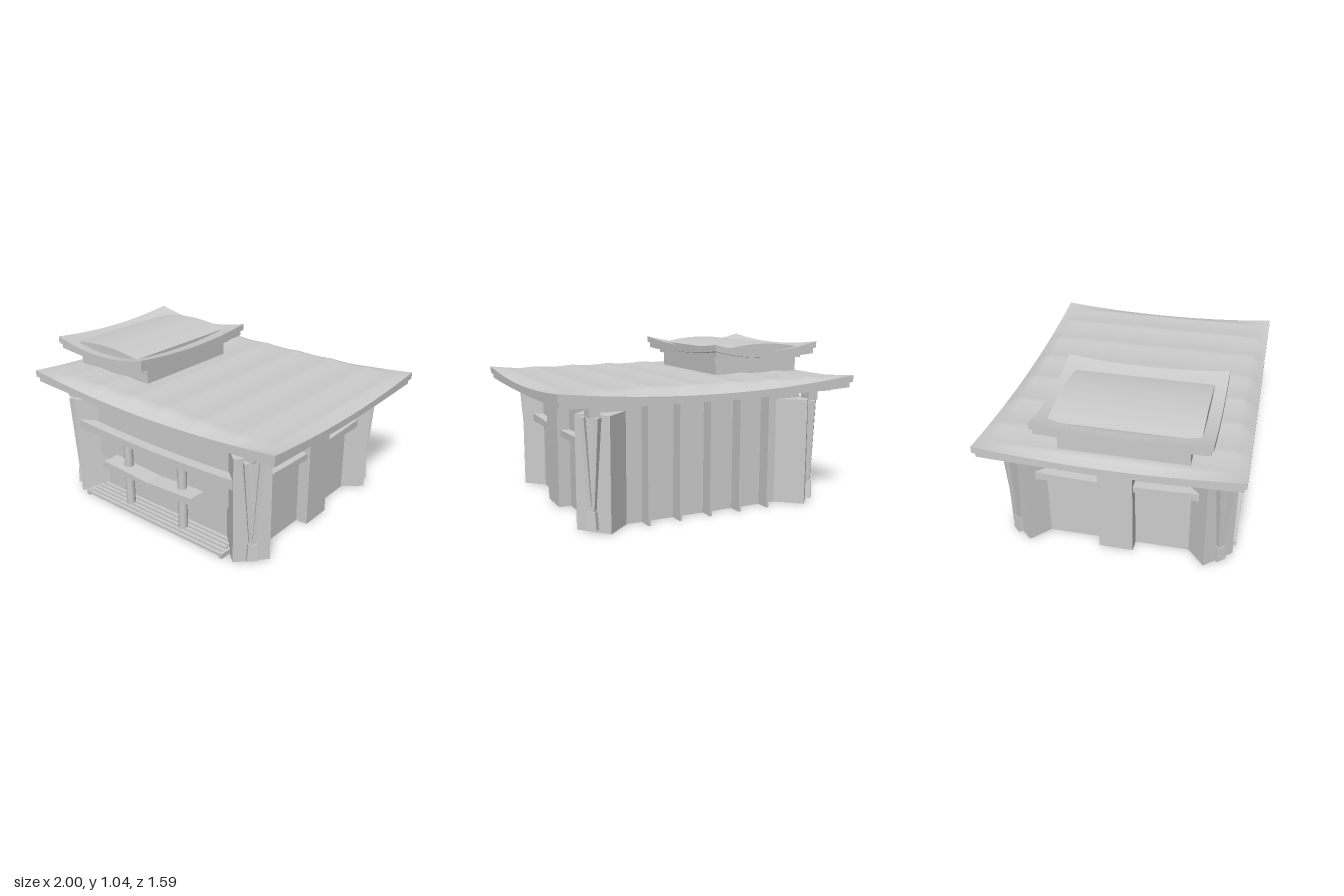
import * as THREE from 'three';

const mat = new THREE.MeshStandardMaterial({ color: 0xcccccc, side: THREE.DoubleSide });

function add(parent, name, geo, x = 0, y = 0, z = 0) {
  const m = new THREE.Mesh(geo, mat);
  m.name = name;
  m.position.set(x, y, z);
  parent.add(m);
  return m;
}

// Box given by its limits
function block(parent, name, x0, x1, y0, y1, z0, z1) {
  return add(parent, name, new THREE.BoxGeometry(x1 - x0, y1 - y0, z1 - z0),
    (x0 + x1) / 2, (y0 + y1) / 2, (z0 + z1) / 2);
}

// Slab whose top and bottom heights follow functions of (u, v) in -1..1
function slab(hx, hz, top, bottom, nx = 24, nz = 24) {
  const g = new THREE.BoxGeometry(2, 1, 2, nx, 1, nz);
  const p = g.attributes.position;
  for (let i = 0; i < p.count; i++) {
    const u = p.getX(i), v = p.getZ(i);
    p.setXYZ(i, u * hx, p.getY(i) > 0 ? top(u, v) : bottom(u, v), v * hz);
  }
  g.computeVertexNormals();
  return g;
}

// Thin upright wall along a plan path of [x, z] points
function wall(parent, name, path, y0, y1) {
  const pos = [];
  for (let i = 0; i + 1 < path.length; i++) {
    const [ax, az] = path[i], [bx, bz] = path[i + 1];
    pos.push(ax, y0, az, bx, y0, bz, bx, y1, bz, ax, y0, az, bx, y1, bz, ax, y1, az);
  }
  const g = new THREE.BufferGeometry();
  g.setAttribute('position', new THREE.Float32BufferAttribute(pos, 3));
  g.computeVertexNormals();
  return add(parent, name, g);
}

// Box tapered towards its lower end
function taper(wTop, wBottom, h, dTop, dBottom) {
  const g = new THREE.BoxGeometry(1, h, 1);
  const p = g.attributes.position;
  for (let i = 0; i < p.count; i++) {
    const up = p.getY(i) > 0;
    p.setX(i, p.getX(i) * (up ? wTop : wBottom));
    p.setZ(i, (p.getZ(i) + 0.5) * (up ? dTop : dBottom));
  }
  g.computeVertexNormals();
  return g;
}

// Slightly sagging beam with its length along x
function sagBeam(len, h, d, sag) {
  return slab(len / 2, d / 2, (u) => h / 2 - sag * (1 - u * u), () => -h / 2, 12, 1);
}

function addRoofs(root) {
  // Main roof: upswept corners, sagging edges, ribbed crown
  const roof = new THREE.Group();
  roof.name = 'mainRoof';
  root.add(roof);
  const bowl = (u, v) => 0.74 + 0.06 * u * u + 0.04 * v * v;
  const crown = (u, v) => {
    const inset = Math.min(1 - Math.abs(u), (1 - Math.abs(v)) * 0.8);
    const t = Math.min(1, inset / 0.08);
    const rib = 0.836 - 0.008 * Math.abs(Math.sin((u - 0.13) * Math.PI / 0.285));
    return THREE.MathUtils.lerp(bowl(u, v), rib, t);
  };
  add(roof, 'roofSlab', slab(1, 0.795, crown, (u, v) => Math.max(bowl(u, v) - 0.043, 0.737), 100, 50));
  const eave = (u, v) => 0.72 + 0.025 * u * u + 0.015 * v * v;
  add(roof, 'eaveLayer', slab(0.985, 0.78, (u, v) => Math.max(bowl(u, v) - 0.035, 0.745),
    (u, v) => Math.max(eave(u, v), 0.732)));
  add(roof, 'soffitLayer', slab(0.9, 0.7, () => 0.75, (u, v) => 0.724 + 0.006 * u * u + 0.006 * v * v));
  block(roof, 'ceiling', -0.72, 0.72, 0.72, 0.74, -0.62, 0.62);

  // Small raised roof on one side
  const turret = new THREE.Group();
  turret.name = 'turret';
  turret.position.set(-0.57, 0, 0.08);
  root.add(turret);
  const dish = (u, v) => 0.95 + 0.055 * u * u + 0.035 * v * v;
  block(turret, 'turretBody', -0.325, 0.32, 0.78, 0.935, -0.385, 0.39);
  block(turret, 'turretTrim', -0.35, 0.345, 0.925, 0.95, -0.41, 0.41);
  add(turret, 'turretEave', slab(0.385, 0.505, (u, v) => dish(u, v) - 0.02,
    (u, v) => Math.max(0.925 + 0.02 * u * u + 0.012 * v * v, 0.934)));
  add(turret, 'turretRoof', slab(0.4, 0.52, dish, (u, v) => Math.max(dish(u, v) - 0.042, 0.94)));
  add(turret, 'turretRoofPanel', slab(0.295, 0.443, (u) => 1.03 - 0.03 * u * u, () => 0.96, 16, 1), -0.015);
}

function addCorner(root, sx, sz) {
  const corner = new THREE.Group();
  corner.name = 'cornerPier';
  root.add(corner);
  const plan = [[0.71, 0.46], [0.83, 0.57], [0.68, 0.74], [0.53, 0.61]].map(([x, z]) => [x * sx, z * sz]);
  wall(corner, 'cornerWall', plan, 0, 0.69);
  const cap = new THREE.ShapeGeometry(new THREE.Shape(plan.map(([x, z]) => new THREE.Vector2(x, -z))));
  add(corner, 'cornerCap', cap.rotateX(-Math.PI / 2), 0, 0.69, 0);
  block(corner, 'cornerPost', sx * 0.755 - 0.035, sx * 0.755 + 0.035, 0.68, 0.75,
    sz * 0.66 - 0.04, sz * 0.66 + 0.04);

  // Tapered bracket on the chamfered face
  const bracket = new THREE.Group();
  bracket.name = 'cornerBracket';
  bracket.position.set(0.755 * sx, 0, 0.655 * sz);
  bracket.rotation.y = Math.atan2(0.17 * sx, 0.15 * sz);
  corner.add(bracket);
  add(bracket, 'bracketCore', taper(0.09, 0.03, 0.56, 0.02, 0.015), 0, 0.4, 0);
  for (const s of [-1, 1]) {
    const bar = add(bracket, 'bracketBar', taper(0.03, 0.02, 0.56, 0.045, 0.025), s * 0.027, 0.4, 0);
    bar.rotation.z = -s * 0.065;
  }
  add(bracket, 'bracketFoot', taper(0.05, 0.07, 0.11, 0.03, 0.035), 0, 0.075, 0);
}

export function createModel() {
  const root = new THREE.Group();
  root.name = 'pavilion';
  addRoofs(root);
  for (const sx of [-1, 1]) for (const sz of [-1, 1]) addCorner(root, sx, sz);

  // Side walls with central pilaster and sagging rail
  for (const s of [-1, 1]) {
    wall(root, 'sideWall', [[0.71 * s, 0.52], [0.71 * s, -0.52]], 0, 0.73);
    block(root, 'sidePilaster', s * 0.75 - 0.04, s * 0.75 + 0.04, 0, 0.725, -0.11, 0.11);
    const rail = add(root, 'sideRail', sagBeam(1.04, 0.055, 0.06, 0.015), s * 0.74, 0.495, 0);
    rail.rotation.y = Math.PI / 2;
  }

  // Back wall with upright fins
  wall(root, 'backWall', [[-0.55, -0.61], [0.55, -0.61]], 0, 0.73);
  wall(root, 'backHeader', [[-0.71, -0.61], [0.71, -0.61]], 0.69, 0.73);
  for (let i = -2; i <= 2; i++) {
    block(root, 'backFin', i * 0.21 - 0.008, i * 0.21 + 0.008, 0, 0.73, -0.7, -0.61);
  }

  // Front wall, stepped forward above the counter line
  wall(root, 'frontLowerWall', [[-0.55, 0.61], [0.55, 0.61]], 0, 0.3);
  block(root, 'frontUpperWall', -0.585, 0.585, 0.28, 0.68, 0.61, 0.64);
  wall(root, 'frontHeader', [[-0.71, 0.61], [0.71, 0.61]], 0.68, 0.73);

  // Lintel, shelf and round posts
  add(root, 'frontLintel', sagBeam(1.34, 0.065, 0.07, 0.022), 0, 0.512, 0.69);
  const shelf = new THREE.Shape([[-0.42, 0.28], [0.385, 0.28], [0.37, 0.328], [0, 0.308], [-0.4, 0.328]]
    .map(([x, y]) => new THREE.Vector2(x, y)));
  add(root, 'frontShelf', new THREE.ExtrudeGeometry(shelf, { depth: 0.12, bevelEnabled: false }), 0, 0, 0.64);
  for (const x of [-0.245, 0.23]) {
    add(root, 'frontPost', new THREE.CylinderGeometry(0.03, 0.03, 0.47, 16), x, 0.255, 0.68);
  }

  // Slatted step along the front
  for (let i = 0; i < 5; i++) {
    const y = 0.056 - i * 0.007, z = 0.615 + i * 0.029;
    block(root, 'stepSlat', -0.59, 0.59, y - 0.014, y, z, z + 0.022);
  }
  block(root, 'stepBase', -0.59, 0.59, 0.008, 0.02, 0.61, 0.75);
  for (const s of [-1, 1]) block(root, 'stepEnd', s * 0.597 - 0.012, s * 0.597 + 0.012, 0, 0.032, 0.61, 0.757);
  return root;
}
